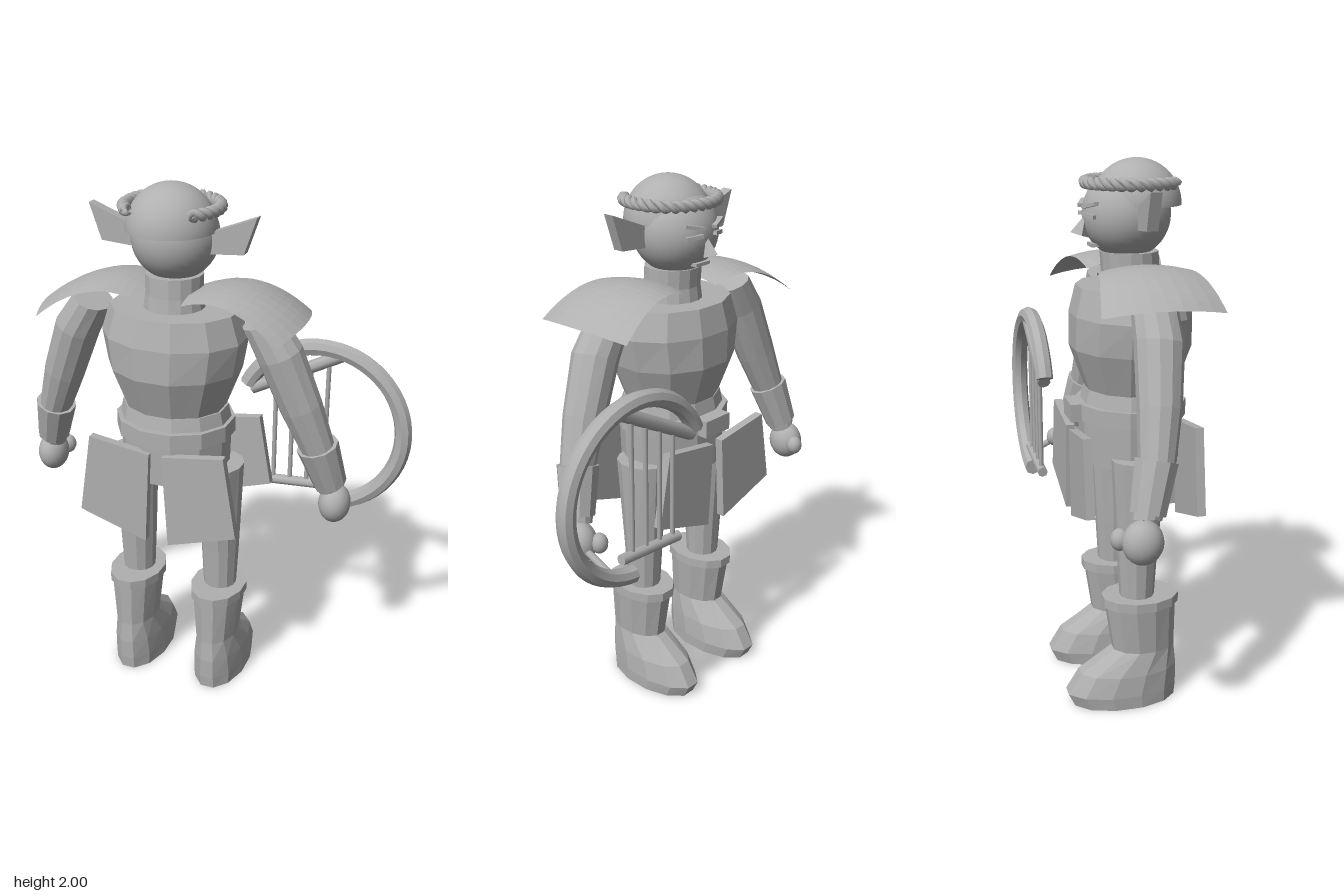
import * as THREE from 'three';
import { toCreasedNormals } from 'three/addons/utils/BufferGeometryUtils.js';

const CX = -0.095; // body centre line
const V = (x, y, z) => new THREE.Vector3(x, y, z);

export function createModel() {
  const grey = new THREE.MeshStandardMaterial({ color: 0xb0b0b0, side: THREE.DoubleSide });
  grey.name = 'stone grey';
  const model = new THREE.Group();
  model.name = 'lyrePlayer';
  const body = new THREE.Group();
  body.name = 'body';
  body.position.x = CX;
  model.add(body);

  const add = (parent, name, geo, pos = [0, 0, 0], crease = null) => {
    const mesh = new THREE.Mesh(crease === null ? geo : toCreasedNormals(geo, crease), grey);
    mesh.name = name;
    mesh.position.set(...pos);
    parent.add(mesh);
    return mesh;
  };

  // Solid through rings [x, y, z, rx, rz], listed bottom to top, square to the line from first to last
  const loft = (rings, sides, upright = true) => {
    const first = V(...rings[0]), last = V(...rings[rings.length - 1]);
    const q = new THREE.Quaternion();
    if (!upright) q.setFromUnitVectors(V(0, 1, 0), last.clone().sub(first).normalize());
    const pos = [], idx = [];
    for (const [x, y, z, rx, rz] of rings) {
      for (let i = 0; i < sides; i++) {
        const a = ((i + 0.5) / sides) * Math.PI * 2;
        const p = V(Math.cos(a) * rx, 0, Math.sin(a) * rz).applyQuaternion(q);
        pos.push(p.x + x, p.y + y, p.z + z);
      }
    }
    const top = (rings.length - 1) * sides, c0 = rings.length * sides;
    pos.push(...first.toArray(), ...last.toArray());
    for (let i = 0; i < sides; i++) {
      const j = (i + 1) % sides;
      for (let k = 0; k < top; k += sides) {
        idx.push(k + i, k + sides + i, k + j, k + j, k + sides + i, k + sides + j);
      }
      idx.push(c0, i, j, c0 + 1, top + j, top + i);
    }
    const geo = new THREE.BufferGeometry();
    geo.setAttribute('position', new THREE.Float32BufferAttribute(pos, 3));
    geo.setIndex(idx);
    const flat = geo.toNonIndexed();
    flat.computeVertexNormals();
    return flat;
  };

  const rod = (parent, name, a, b, r, sides = 8) => {
    const mesh = add(parent, name, new THREE.CylinderGeometry(r, r, a.distanceTo(b), sides));
    mesh.position.copy(a).lerp(b, 0.5);
    mesh.quaternion.setFromUnitVectors(V(0, 1, 0), b.clone().sub(a).normalize());
    return mesh;
  };

  const plate = (points, depth) => new THREE.ExtrudeGeometry(
    new THREE.Shape(points.map(([x, y]) => new THREE.Vector2(x, y))), { depth, bevelEnabled: false });

  // Head, hair and neck
  add(body, 'head', new THREE.SphereGeometry(0.157, 32, 24), [0, 1.81, 0.035]);
  add(body, 'hair', new THREE.SphereGeometry(0.16, 32, 14, 0, Math.PI * 2, 0, Math.PI / 2), [0, 1.84, 0.07]);
  const under = add(body, 'hairUnderside', new THREE.CircleGeometry(0.16, 32), [0, 1.84, 0.07]);
  under.rotation.x = Math.PI / 2;
  add(body, 'neck', loft([[0, 1.54, 0.05, 0.115, 0.115], [0, 1.61, 0.05, 0.105, 0.105], [0, 1.68, 0.045, 0.105, 0.105]], 16));

  // Face, looking toward -z
  for (const s of [-1, 1]) {
    const eye = add(body, 'eye', new THREE.BoxGeometry(0.065, 0.014, 0.02), [s * 0.06, 1.81, -0.11]);
    eye.rotation.set(0, s * -0.4, s * -0.1);
    const brow = add(body, 'eyebrow', new THREE.BoxGeometry(0.075, 0.012, 0.025), [s * 0.06, 1.845, -0.108]);
    brow.rotation.set(0, s * -0.4, s * 0.2);
  }
  const nose = add(body, 'nose', new THREE.ConeGeometry(0.035, 0.075, 4), [0, 1.775, -0.122], 0.3);
  nose.rotation.x = 0.3;
  add(body, 'mouth', new THREE.BoxGeometry(0.07, 0.012, 0.03), [0, 1.705, -0.085]);

  // Twisted wreath, open at the back of the head
  for (const phase of [0, Math.PI]) {
    const pts = [];
    for (let i = 0; i <= 150; i++) {
      const t = i / 150, a = (-0.5 + (t - 0.5) * 1.52) * Math.PI, w = t * Math.PI * 24 + phase;
      const r = 0.166 + Math.cos(w) * 0.011;
      pts.push(V(Math.cos(a) * r, 1.918 + Math.sin(w) * 0.011, 0.058 + Math.sin(a) * r));
    }
    add(body, 'wreathStrand', new THREE.TubeGeometry(new THREE.CatmullRomCurve3(pts), 200, 0.013, 6));
  }

  // Torso, waist, belt and hips
  add(body, 'torso', loft([
    [0, 1.18, 0.05, 0.188, 0.165], [0, 1.34, 0.05, 0.25, 0.222],
    [0, 1.46, 0.05, 0.272, 0.22], [0, 1.56, 0.05, 0.24, 0.195]], 12));
  add(body, 'waist', loft([[0, 1.12, 0.05, 0.215, 0.185], [0, 1.19, 0.05, 0.2, 0.17]], 12));
  add(body, 'belt', loft([[0, 1.08, 0.05, 0.225, 0.205], [0, 1.14, 0.05, 0.225, 0.205]], 12));
  add(body, 'hips', loft([[0, 0.92, 0.05, 0.205, 0.185], [0, 1.09, 0.05, 0.21, 0.19]], 12));
  add(body, 'buckle', new THREE.BoxGeometry(0.13, 0.065, 0.04), [0, 1.11, -0.165]);

  for (const s of [-1, 1]) {
    // Curved shoulder mantle
    const mantle = new THREE.PlaneGeometry(1, 2, 12, 8);
    const p = mantle.attributes.position;
    for (let i = 0; i < p.count; i++) {
      const u = p.getX(i) + 0.5, v = p.getY(i);
      const x = 0.08 + u * 0.405 - v * v * u * 0.04;
      const y = 1.63 + 0.16 * u - 0.24 * u * u - 0.022 * v * v;
      p.setXYZ(i, s * x, y, 0.05 + v * (0.14 + 0.07 * u));
    }
    add(body, 'shoulderMantle', mantle, [0, 0, 0], 0.05);

    // Ear
    const ear = plate([[0.13, 1.765], [0.265, 1.775], [0.31, 1.905], [0.13, 1.835]].map(([x, y]) => [s * x, y]), 0.04);
    add(body, 'ear', ear, [0, 0, 0.035]);

    // Arm, bracer, hand
    add(body, 'arm', loft([
      [s * 0.583, 0.89, -0.045, 0.05, 0.05], [s * 0.54, 1.06, 0, 0.062, 0.062],
      [s * 0.475, 1.23, 0.025, 0.078, 0.075], [s * 0.395, 1.43, 0.045, 0.084, 0.085],
      [s * 0.325, 1.545, 0.045, 0.072, 0.08]], 12, false));
    add(body, 'bracer', loft([
      [s * 0.581, 0.91, -0.04, 0.062, 0.062], [s * 0.535, 1.075, 0, 0.079, 0.075]], 10, false));
    const hand = add(body, 'hand', new THREE.SphereGeometry(0.07, 20, 14), [s * 0.597, 0.82, -0.06]);
    hand.scale.set(0.86, 1.1, 1);
    const thumb = add(body, 'thumb', new THREE.SphereGeometry(0.032, 12, 8), [s * 0.565, 0.825, -0.13]);
    thumb.scale.set(1, 1.2, 1);

    // Leg and boot
    const lx = s * 0.175;
    add(body, 'leg', loft([
      [lx, 0.38, 0.035, 0.062, 0.062], [lx, 0.6, 0.035, 0.073, 0.075], [lx, 0.96, 0.04, 0.088, 0.102]], 12));
    add(body, 'boot', loft([
      [lx, 0, -0.015, 0.103, 0.2], [lx, 0.05, -0.025, 0.105, 0.215], [lx, 0.13, 0, 0.1, 0.19],
      [lx, 0.215, 0.06, 0.082, 0.12], [lx, 0.4, 0.047, 0.1, 0.135]], 12));
    add(body, 'bootCuff', loft([[lx, 0.395, 0.047, 0.107, 0.146], [lx, 0.43, 0.047, 0.107, 0.146]], 12));

    // Skirt panels, back and front
    const panel = (name, top, low, z) => add(body, name, plate([
      [s * 0.025, top - 0.035], [s * 0.262, top], [s * 0.312, low + 0.085], [s * 0.045, low]], 0.032), [0, 0, z]);
    panel('backSkirtPanel', 1.085, 0.685, 0.22);
    panel('frontSkirtPanel', 1.075, 0.71, -0.185);
  }

  // Lyre: open hoop, chord bar, strings and lower bar
  const lyre = new THREE.Group();
  lyre.name = 'lyre';
  lyre.position.set(0.385, 1.04, -0.233);
  model.add(lyre);
  const R = 0.323, start = -1.5, arc = 4.2;
  const hoop = add(lyre, 'hoop', new THREE.TorusGeometry(R, 0.033, 8, 36, arc), [0, 0, 0], 0.5);
  hoop.rotation.z = start;
  for (const a of [start, start + arc]) {
    const end = add(lyre, 'hoopEnd', new THREE.CircleGeometry(0.033, 8), [Math.cos(a) * R, Math.sin(a) * R, 0]);
    end.rotation.set(Math.PI / 2, 0, a, 'ZYX');
  }
  const ca = V(0.08, 0.305, 0), cb = V(-0.275, 0.12, 0);
  rod(lyre, 'chordBar', ca, cb, 0.025);
  const la = V(-0.21, -0.265, 0), lb = V(0.08, -0.245, 0);
  rod(lyre, 'lowerBar', la, lb, 0.02);
  for (let i = 0; i < 4; i++) {
    const x = -0.18 + i * 0.068;
    const yAt = (a, b) => a.y + ((x - a.x) / (b.x - a.x)) * (b.y - a.y);
    rod(lyre, 'string', V(x, yAt(la, lb), 0), V(x, yAt(ca, cb), 0), 0.009, 6);
  }
  rod(lyre, 'handle', V(0.13, -0.235, 0.12), V(0.125, -0.29, 0), 0.014);

  return model;
}
